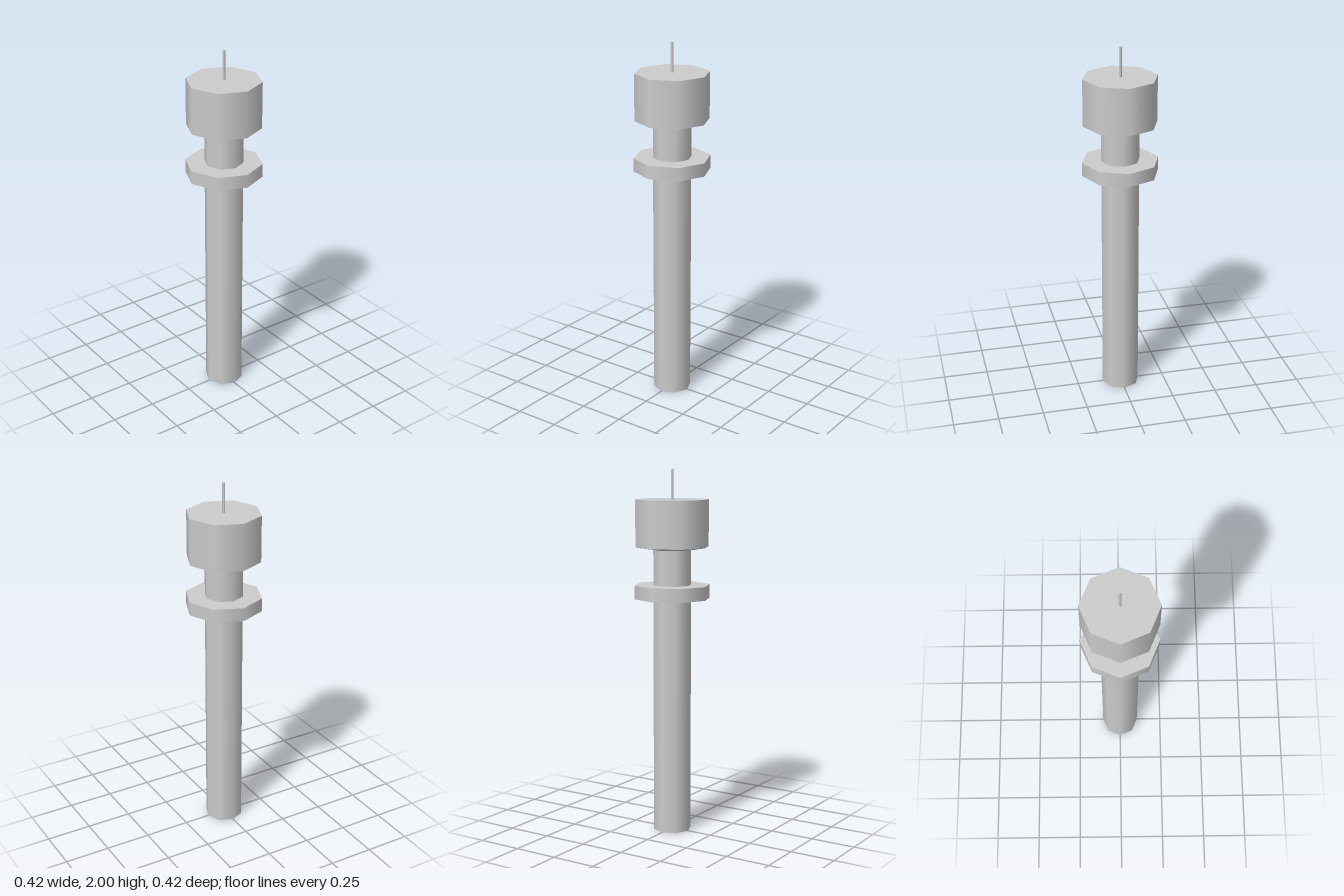
import * as THREE from 'three';

const SIDES = 8;

export function createModel() {
  const model = new THREE.Group();
  const material = new THREE.MeshStandardMaterial({ color: 0xcccccc });

  // Octagonal drum between two heights, corners on the x and z axes
  function addDrum(name, bottomRadius, topRadius, y0, y1, open = false) {
    const geometry = new THREE.CylinderGeometry(topRadius, bottomRadius, y1 - y0, SIDES, 1, open);
    const mesh = new THREE.Mesh(geometry, material);
    mesh.name = name;
    mesh.position.y = (y0 + y1) / 2;
    model.add(mesh);
  }

  // Long handle, running up into the head
  addDrum('shaft', 0.105, 0.105, 0, 1.57);

  // Wide ring around the handle
  addDrum('collar', 0.21, 0.21, 1.302, 1.376);

  // Head with a shallow tapered underside
  addDrum('headUnderside', 0.105, 0.203, 1.567, 1.582, true);
  addDrum('head', 0.203, 0.203, 1.582, 1.838);

  // Thin rod on top
  addDrum('pin', 0.008, 0.008, 1.838, 2);

  // The head's lower cap lies just above the taper, so the underside stays closed
  return model;
}
